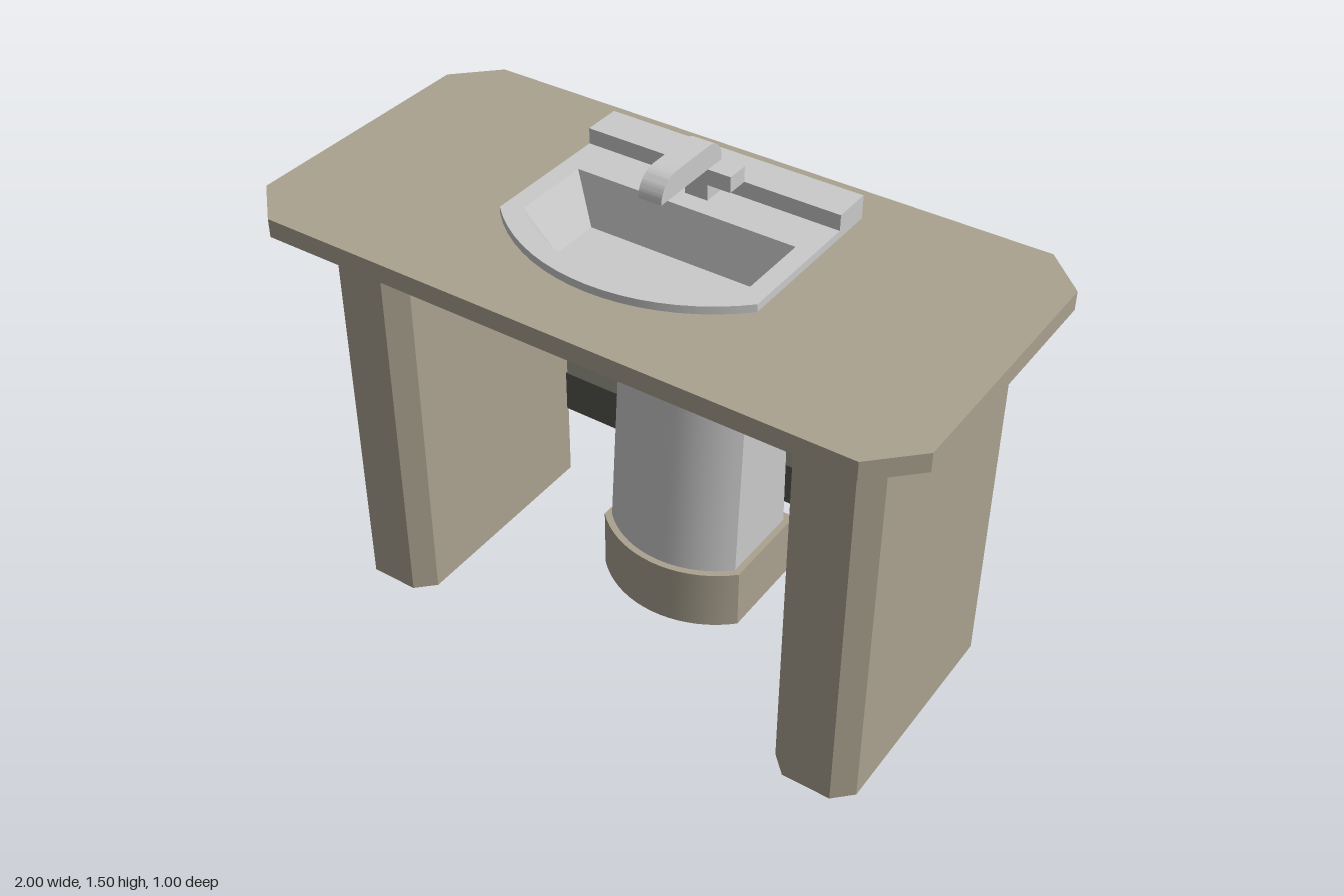
import * as THREE from 'three';
import { toCreasedNormals } from 'three/addons/utils/BufferGeometryUtils.js';

const material = (name, color) => {
  const m = new THREE.MeshStandardMaterial({ color });
  m.name = name;
  return m;
};

// D-shaped outline in x/z: straight back and sides, circular arc at the front
function dOutline(hw, back, side, front, n = 18) {
  const s = front - side;
  const r = (hw * hw + s * s) / (2 * s);
  const half = Math.asin(hw / r);
  const pts = [[hw, back], [-hw, back]];
  for (let i = 0; i <= n; i++) {
    const a = -half + (2 * half * i) / n;
    pts.push([r * Math.sin(a), front - r + r * Math.cos(a)]);
  }
  return pts;
}

// Skin over a list of [y, outline] rings, closed by a flat cap at each end
function loft(rings) {
  const pos = [];
  const at = (k, i) => {
    const [y, o] = rings[k];
    const [x, z] = o[i % o.length];
    return [x, y, z];
  };
  const tri = (...p) => p.forEach((v) => pos.push(...v));
  const n = rings[0][1].length;
  const last = rings.length - 1;
  for (let k = 0; k < last; k++) {
    for (let i = 0; i < n; i++) {
      tri(at(k, i), at(k, i + 1), at(k + 1, i + 1));
      tri(at(k, i), at(k + 1, i + 1), at(k + 1, i));
    }
  }
  for (let i = 1; i < n - 1; i++) {
    tri(at(0, 0), at(0, i + 1), at(0, i));
    tri(at(last, 0), at(last, i), at(last, i + 1));
  }
  const g = new THREE.BufferGeometry();
  g.setAttribute('position', new THREE.Float32BufferAttribute(pos, 3));
  return toCreasedNormals(g, 0.45);
}

// Rectangle in x/z with cut corners
function cutRect(x0, x1, z0, z1, cx, cz = cx) {
  return [
    [x0 + cx, z0], [x1 - cx, z0], [x1, z0 + cz], [x1, z1 - cz],
    [x1 - cx, z1], [x0 + cx, z1], [x0, z1 - cz], [x0, z0 + cz],
  ].map(([x, z]) => new THREE.Vector2(x, z));
}

// Upright slab between two heights from an x/z shape
function slab(shape, y0, y1) {
  const g = new THREE.ExtrudeGeometry(shape, { depth: y1 - y0, bevelEnabled: false });
  return g.rotateX(Math.PI / 2).translate(0, y1, 0);
}

function box(x0, x1, y0, y1, z0, z1) {
  return new THREE.BoxGeometry(x1 - x0, y1 - y0, z1 - z0)
    .translate((x0 + x1) / 2, (y0 + y1) / 2, (z0 + z1) / 2);
}

export function createModel() {
  const model = new THREE.Group();
  model.name = 'washbasinStand';
  const stone = material('warmStone', 0xaaa290);
  const ceramic = material('paleCeramic', 0xcacaca);
  const dark = material('darkRail', 0x54544c);
  const add = (name, geo, mat) => {
    const mesh = new THREE.Mesh(geo, mat);
    mesh.name = name;
    model.add(mesh);
  };

  // Countertop with an opening for the basin
  const top = new THREE.Shape(cutRect(-1, 1, -0.5, 0.5, 0.12));
  const opening = dOutline(0.39, -0.37, 0.137, 0.295);
  top.holes.push(new THREE.Path(opening.map(([x, z]) => new THREE.Vector2(x, z))));
  add('countertop', slab(top, 1.26, 1.315), stone);

  // Side panels
  for (const [name, x0, x1] of [['rightPanel', -0.855, -0.6], ['leftPanel', 0.6, 0.855]]) {
    add(name, slab(new THREE.Shape(cutRect(x0, x1, -0.44, 0.345, 0.053)), 0, 1.26), stone);
  }

  // Rear apron and lower rail
  add('rearApron', box(-0.75, 0.75, 1.12, 1.26, -0.46, -0.4), stone);
  add('rearRail', box(-0.73, 0.73, 0.25, 0.39, -0.45, -0.38), dark);

  // Basin: outer skirt, rim, sloping bowl walls and floor
  const rim = dOutline(0.395, -0.375, 0.14, 0.305);
  add('basin', loft([
    [1.13, rim],
    [1.338, rim],
    [1.338, dOutline(0.34, -0.13, 0.11, 0.245)],
    [1.195, dOutline(0.275, -0.095, 0.06, 0.14)],
  ]), ceramic);
  add('basinLedge', box(-0.395, 0.395, 1.338, 1.385, -0.375, -0.258), ceramic);

  // Pedestal column and its foot
  add('pedestal', loft([
    [0.195, dOutline(0.22, -0.36, -0.09, 0.0)],
    [1.135, dOutline(0.21, -0.36, -0.15, -0.06)],
  ]), ceramic);
  add('pedestalFoot', loft([
    [0, dOutline(0.24, -0.39, -0.08, 0.02)],
    [0.197, dOutline(0.24, -0.39, -0.08, 0.02)],
  ]), stone);

  // Tap: stem, crossbar and rounded spout
  add('tapStem', box(-0.035, 0.035, 1.338, 1.385, -0.258, -0.19), ceramic);
  add('tapCrossbar', box(-0.105, 0.105, 1.385, 1.432, -0.258, -0.19), ceramic);
  const spout = new THREE.Shape();
  spout.moveTo(-0.255, 1.432);
  spout.lineTo(0.025, 1.432);
  spout.absarc(-0.043, 1.432, 0.068, 0, Math.PI / 2, false);
  spout.lineTo(-0.195, 1.5);
  spout.absarc(-0.195, 1.44, 0.06, Math.PI / 2, Math.PI, false);
  const spoutGeo = new THREE.ExtrudeGeometry(spout, { depth: 0.07, bevelEnabled: false, curveSegments: 10 });
  spoutGeo.rotateY(-Math.PI / 2).translate(0.035, 0, 0);
  add('tapSpout', toCreasedNormals(spoutGeo, 0.45), ceramic);

  return model;
}
